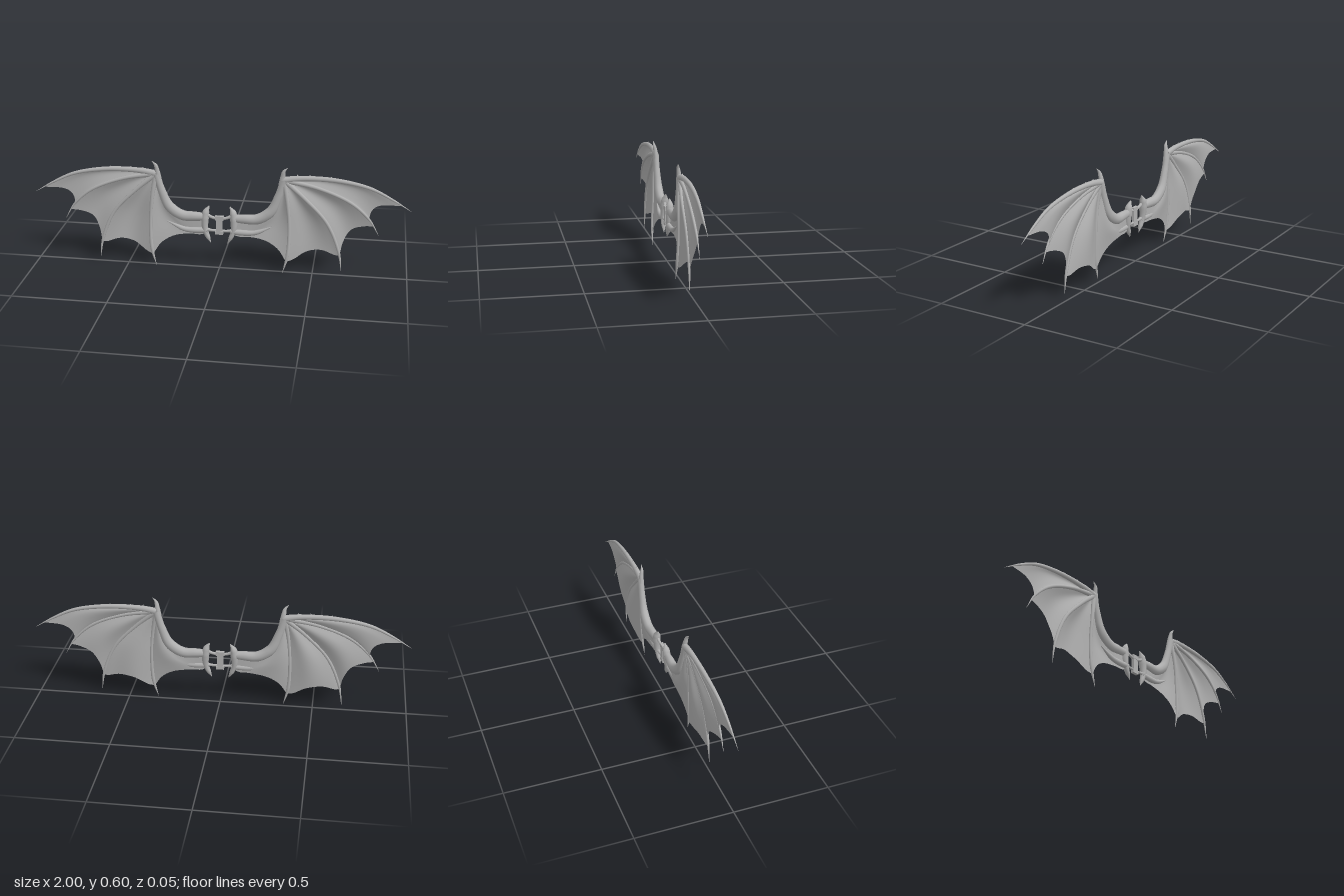
import * as THREE from 'three';
import { mergeVertices } from 'three/addons/utils/BufferGeometryUtils.js';

const hide = new THREE.MeshStandardMaterial({ color: 0xb0b0b0, side: THREE.DoubleSide });
hide.name = 'greyHide';

const curveOf = (pts) => new THREE.CatmullRomCurve3(pts.map((p) => new THREE.Vector3(...p)));

// Round limb along a curve; radii are spread evenly over its length, depth flattens it in z
function limb(name, curve, radii, depth = 1, seg = 28) {
  const sides = 10;
  const geo = new THREE.TubeGeometry(curve, seg, 1, sides);
  const pos = geo.attributes.position;
  const v = new THREE.Vector3();
  for (let i = 0; i <= seg; i++) {
    const c = curve.getPointAt(i / seg);
    const f = (i / seg) * (radii.length - 1);
    const k = Math.min(Math.floor(f), radii.length - 2);
    const r = THREE.MathUtils.lerp(radii[k], radii[k + 1], f - k);
    for (let j = 0; j <= sides; j++) {
      const n = i * (sides + 1) + j;
      v.fromBufferAttribute(pos, n).sub(c).multiplyScalar(r);
      v.z *= depth;
      v.add(c);
      pos.setXYZ(n, v.x, v.y, v.z);
    }
  }
  return mesh(name, geo);
}

function mesh(name, geo) {
  geo.deleteAttribute('uv');
  geo.deleteAttribute('normal');
  const g = mergeVertices(geo, 1e-5);
  g.computeVertexNormals();
  const m = new THREE.Mesh(g, hide);
  m.name = name;
  return m;
}

// Skin stretched between two bones, with a scalloped free edge and a billow in z
function membrane(name, a, endA, b, endB, edgePts, billow, fold) {
  const nu = 18, nt = 20, pos = [], idx = [];
  const a1 = a.getPointAt(endA), b1 = b.getPointAt(endB);
  const edge = new THREE.CatmullRomCurve3([a1, ...edgePts.map((p) => new THREE.Vector3(...p)), b1]);
  for (let i = 0; i <= nu; i++) {
    const u = i / nu;
    const pa = a.getPointAt(u * endA), pb = b.getPointAt(u * endB);
    for (let j = 0; j <= nt; j++) {
      const t = j / nt;
      const scallop = edge.getPointAt(t).sub(a1.clone().lerp(b1, t)).multiplyScalar(u * u);
      const p = pa.clone().lerp(pb, t).add(scallop);
      p.z += billow * Math.sin(Math.PI * t) * Math.sin(Math.PI * Math.min(1, u * 0.85));
      p.z += fold * Math.sin(3 * Math.PI * t) * u * (1 - 0.6 * u);
      pos.push(p.x, p.y, p.z);
      if (i < nu && j < nt) {
        const n = i * (nt + 1) + j;
        idx.push(n, n + nt + 1, n + 1, n + 1, n + nt + 1, n + nt + 2);
      }
    }
  }
  const geo = new THREE.BufferGeometry();
  geo.setAttribute('position', new THREE.Float32BufferAttribute(pos, 3));
  geo.setIndex(idx);
  return mesh(name, geo);
}

function wing(s) {
  const g = new THREE.Group();
  g.name = s > 0 ? 'leftWing' : 'rightWing';
  const side = (pts) => pts.map(([x, y, z]) => [s * x, y, z]);
  const curve = (pts) => curveOf(side(pts));

  // Bones fan out from the wrist; each finger ends in a claw
  const wrist = [0.338, 0.525, 0.0];
  const finger1 = curve([wrist, [0.42, 0.538, 0], [0.6, 0.538, 0], [0.78, 0.506, 0.004], [0.9, 0.45, 0.006], [1, 0.39, 0.006]]);
  const finger2 = curve([wrist, [0.52, 0.49, 0.006], [0.69, 0.42, 0.01], [0.79, 0.33, 0.008], [0.84, 0.245, 0.006]]);
  const finger3 = curve([wrist, [0.45, 0.43, 0.01], [0.57, 0.3, 0.012], [0.637, 0.14, 0.012], [0.655, 0.025, 0.014]]);
  const finger4 = curve([wrist, [0.36, 0.4, 0.01], [0.372, 0.25, 0.01], [0.366, 0.1, 0.016], [0.342, 0.003, 0.02]]);
  const arm = curve([wrist, [0.31, 0.43, -0.002], [0.27, 0.342, -0.004], [0.2, 0.296, -0.004], [0.13, 0.294, -0.002], [0.068, 0.295, 0]]);

  g.add(
    limb('leadingFinger', finger1, [0.018, 0.014, 0.013, 0.011, 0.009, 0.006, 0.0005], 0.9, 40),
    limb('secondFinger', finger2, [0.015, 0.011, 0.009, 0.009, 0.007, 0.0005], 0.9),
    limb('thirdFinger', finger3, [0.015, 0.011, 0.009, 0.009, 0.008, 0.0005], 0.9),
    limb('fourthFinger', finger4, [0.015, 0.011, 0.009, 0.009, 0.01, 0.0005], 0.9),
    limb('arm', arm, [0.02, 0.02, 0.023, 0.028, 0.028, 0.026, 0.02], 0.85, 36),
  );

  // Skin panels
  const tip1 = [[0.84, 0.412, 0.004], [0.8, 0.385, 0.002], [0.788, 0.335, 0.004]];
  const tip2 = [[0.76, 0.292, 0.002], [0.695, 0.265, 0], [0.658, 0.2, 0.004]];
  const tip3 = [[0.62, 0.12, 0.006], [0.545, 0.14, 0], [0.465, 0.125, 0], [0.395, 0.08, 0.008]];
  const tip4 = [[0.315, 0.135, 0.008], [0.25, 0.175, 0.004], [0.16, 0.192, 0.004], [0.09, 0.195, 0.004], [0.065, 0.23, 0.002]];
  g.add(
    membrane('outerMembrane', finger1, 0.92, finger2, 0.9, side(tip1), -0.012, 0.003),
    membrane('middleMembrane', finger2, 0.9, finger3, 0.84, side(tip2), -0.018, 0.005),
    membrane('innerMembrane', finger3, 0.84, finger4, 0.87, side(tip3), -0.02, 0.006),
    membrane('armMembrane', finger4, 0.87, arm, 1, side(tip4), -0.012, 0.006),
  );

  // Thumb claw hooked above the wrist
  g.add(limb('thumbClaw', curve([[0.325, 0.5, 0], [0.332, 0.545, 0.003], [0.338, 0.575, 0.008], [0.358, 0.598, 0.011]]),
    [0.016, 0.014, 0.01, 0.0005], 0.9, 16));

  // Shoulder flange with an upper and lower spur
  g.add(
    limb('shoulderFlange', curve([[0.055, 0.358, -0.004], [0.072, 0.325, -0.002], [0.078, 0.28, 0], [0.075, 0.22, 0.004], [0.045, 0.15, 0.008]]),
      [0.002, 0.018, 0.021, 0.018, 0.015, 0.012, 0.001], 1.05, 24),
    limb('lowerStrut', curve([[0.062, 0.222, 0.006], [0.12, 0.218, 0.006], [0.19, 0.222, 0.006], [0.28, 0.26, 0.004]]),
      [0.015, 0.016, 0.012, 0.002], 0.9, 18),
  );

  // Small knuckles on the leading edge
  [[0.41, 0.55], [0.475, 0.552], [0.585, 0.548]].forEach(([x, y]) => {
    const knuckle = new THREE.Mesh(new THREE.ConeGeometry(0.01, 0.022, 6), hide);
    knuckle.name = 'knuckle';
    knuckle.position.set(s * x, y, 0);
    knuckle.rotation.z = s * 0.5;
    g.add(knuckle);
  });

  // Links to the centre piece
  g.add(
    limb('upperLink', curve([[0.01, 0.29, 0.004], [0.04, 0.296, 0.003], [0.075, 0.312, 0]]), [0.008, 0.008, 0.011], 0.9, 8),
    limb('lowerLink', curve([[0.01, 0.222, 0.006], [0.04, 0.222, 0.006], [0.07, 0.226, 0.004]]), [0.007, 0.007, 0.01], 0.9, 8),
  );
  return g;
}

export function createModel() {
  const model = new THREE.Group();
  model.name = 'batWings';
  model.add(wing(1), wing(-1));

  // Centre block with wider ends
  [['centreBlock', 0.034, 0.1, 0.014, 0.253], ['centreTop', 0.046, 0.022, 0.018, 0.295], ['centreBase', 0.042, 0.018, 0.018, 0.211]]
    .forEach(([name, w, h, d, y]) => {
      const block = new THREE.Mesh(new THREE.BoxGeometry(w, h, d), hide);
      block.name = name;
      block.position.set(0, y, 0.006);
      model.add(block);
    });
  return model;
}
